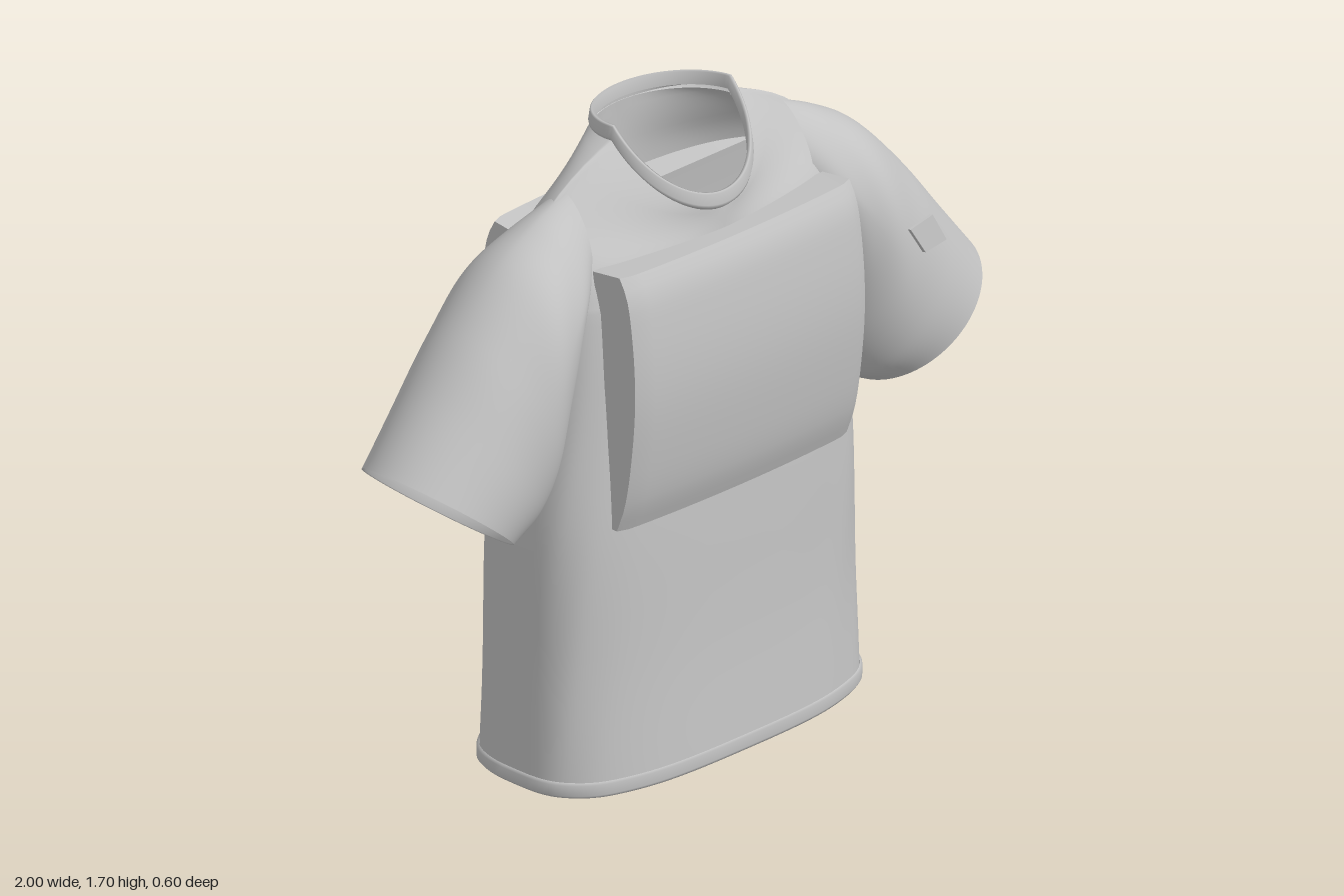
import * as THREE from 'three';

const fabric = new THREE.MeshStandardMaterial({ color: 0xc4c4c4, side: THREE.DoubleSide });
fabric.name = 'grey fabric';

const SEG = 96;
const spow = (v, p) => Math.sign(v) * Math.abs(v) ** p;

// Smooth lookup in a table whose first column is the key
function table(rows) {
  const n = rows[0].length - 1;
  const it = new THREE.CubicInterpolant(
    rows.map(r => r[0]), rows.flatMap(r => r.slice(1)), n, new Float32Array(n));
  return t => Array.from(it.evaluate(t));
}

// Closed rings joined into an open tube; point(i, angle) returns [x, y, z]
function loft(name, rings, point) {
  const pos = [], idx = [];
  for (let i = 0; i < rings; i++) {
    for (let j = 0; j < SEG; j++) {
      pos.push(...point(i, (j / SEG) * Math.PI * 2));
      if (i === rings - 1) continue;
      const a = i * SEG + j, b = i * SEG + (j + 1) % SEG;
      idx.push(a, a + SEG, b, b, a + SEG, b + SEG);
    }
  }
  const g = new THREE.BufferGeometry();
  g.setAttribute('position', new THREE.Float32BufferAttribute(pos, 3));
  g.setIndex(idx);
  g.computeVertexNormals();
  const m = new THREE.Mesh(g, fabric);
  m.name = name;
  return m;
}

// Neck opening: drops to a soft V at the front, almost level at the back
function neckY(a) {
  const s = Math.sin(a);
  return s > 0 ? 1.665 - 0.185 * s : 1.665 + 0.02 * s;
}

// Torso: height key, blend towards neck, half width, front z, back z, squareness
const torsoAt = table([
  [0.01, 0, 0.548, 0.26, 0.287, 3],
  [0.3, 0, 0.54, 0.24, 0.273, 3.1],
  [0.7, 0, 0.53, 0.226, 0.25, 3.4],
  [1.0, 0, 0.5, 0.21, 0.235, 3.5],
  [1.3, 0, 0.485, 0.195, 0.212, 3.3],
  [1.45, 0.43, 0.48, 0.19, 0.2, 2.2],
  [1.54, 0.68, 0.43, 0.186, 0.196, 1.55],
  [1.6, 0.86, 0.33, 0.183, 0.193, 1.55],
  [1.66, 1, 0.203, 0.18, 0.19, 2],
]);

function torsoPoint(key, a) {
  const [g, w, zf, zb, n] = torsoAt(key);
  const c = Math.cos(a), s = Math.sin(a);
  // soft vertical folds near the side seams
  const fold = 1 + 0.012 * Math.sin(key * 9 + a * 11) * c * c * (1 - g);
  const y = THREE.MathUtils.lerp(Math.min(key, 1.3), neckY(a), g);
  return [w * spow(c, 2 / n), y, (s > 0 ? zf : zb) * spow(s, 2 / n) * fold];
}

// Sleeve: key, top x, top y, bottom x, bottom y, half depth, squareness
const sleeveAt = table([
  [0, 0.38, 1.575, 0.4, 1.2, 0.11, 1.7],
  [0.2, 0.5, 1.52, 0.45, 1.13, 0.165, 1.75],
  [0.4, 0.62, 1.445, 0.485, 1.0, 0.2, 1.9],
  [0.6, 0.75, 1.31, 0.515, 0.86, 0.212, 2],
  [0.8, 0.875, 1.155, 0.57, 0.765, 0.21, 2],
  [1, 1, 1, 0.65, 0.72, 0.203, 2],
]);

function sleevePoint(side, t, a) {
  const [tx, ty, bx, by, d, n] = sleeveAt(t);
  const u = spow(Math.cos(a), 2 / n), v = spow(Math.sin(a), 2 / n);
  const fold = 1 + 0.03 * Math.sin(t * 14 + u * 4) * (1 - t);
  return [
    side * ((tx + bx) / 2 + u * (tx - bx) / 2),
    (ty + by) / 2 + u * (ty - by) / 2,
    -side * v * d * fold,
  ];
}

// Padded panel: a box whose faces follow the chest
const panelOuter = table([
  [0, 0.236], [0.1, 0.262], [0.3, 0.287], [0.55, 0.3], [0.8, 0.288], [0.94, 0.268], [1, 0.245],
]);
function panel(name, y0, y1, facing) {
  const g = new THREE.BoxGeometry(0.81, 1, 1, 28, 24, 2);
  const p = g.attributes.position;
  for (let i = 0; i < p.count; i++) {
    const x = p.getX(i), v = p.getY(i) + 0.5, k = p.getZ(i) + 0.5;
    const edge = Math.max(0, Math.abs(x) - 0.36) / 0.045;
    const outer = panelOuter(v)[0] - 0.1 * x * x - 0.01 * edge * edge;
    const inner = 0.185 - 0.06 * v * v;
    p.setZ(i, THREE.MathUtils.lerp(inner, outer, k));
    p.setY(i, THREE.MathUtils.lerp(y0, y1, v) - 0.012 * (1 - k) * v);
  }
  g.computeVertexNormals();
  const m = new THREE.Mesh(g, fabric);
  m.name = name;
  if (facing < 0) m.rotation.y = Math.PI;
  return m;
}

export function createModel() {
  const shirt = new THREE.Group();
  shirt.name = 'shirt';

  const rows = 70;
  shirt.add(loft('torso', rows, (i, a) => torsoPoint(0.01 + 1.65 * i / (rows - 1), a)));

  // Rolled hem around the bottom opening
  const hem = [[0.985, 0.03], [0.985, 0.005], [1.0, 0], [1.013, 0.008], [1.013, 0.036], [1.0, 0.042]];
  shirt.add(loft('hem', hem.length, (i, a) => {
    const [x, , z] = torsoPoint(0.01, a);
    return [x * hem[i][0], hem[i][1], z * hem[i][0]];
  }));

  // Collar band: scale and lift relative to the neck opening
  const band = [[1.0, -0.012], [1.05, -0.004], [1.06, 0.004], [1.04, 0.032], [1.02, 0.036], [0.98, 0.034], [0.97, 0]];
  shirt.add(loft('collar', band.length, (i, a) => {
    const [x, y, z] = torsoPoint(1.66, a);
    return [x * band[i][0], y + band[i][1], z * band[i][0]];
  }));

  // Sleeves with a narrow turned-in cuff
  for (const side of [1, -1]) {
    const word = side > 0 ? 'left' : 'right';
    shirt.add(loft(word + 'Sleeve', 41, (i, a) => sleevePoint(side, i / 40, a)));
    shirt.add(loft(word + 'Cuff', 3, (i, a) => {
      const [x, y, z] = sleevePoint(side, 1, a);
      const k = [1, 0.97, 0.96][i], inset = [0, 0.002, 0.03][i];
      return [side * (0.825 - inset * 0.6) + (x - side * 0.825) * k, 0.86 + inset * 0.8 + (y - 0.86) * k, z * k];
    }));
  }

  shirt.add(panel('frontPanel', 0.72, 1.42, 1));
  shirt.add(panel('backPanel', 0.69, 1.43, -1));

  // Small slanted patch on the left sleeve
  const outline = [[-0.075, 0.04], [0.025, 0.044], [0.075, -0.04], [-0.02, -0.04]];
  const patchShape = new THREE.Shape(outline.map(([x, y]) => new THREE.Vector2(x, y)));
  const patch = new THREE.Mesh(
    new THREE.ExtrudeGeometry(patchShape, { depth: 0.009, bevelEnabled: false }), fabric);
  patch.name = 'sleevePatch';
  patch.position.set(0.69, 1.165, 0.203);
  patch.rotation.set(-0.12, 0.2, 0);
  shirt.add(patch);

  return shirt;
}
